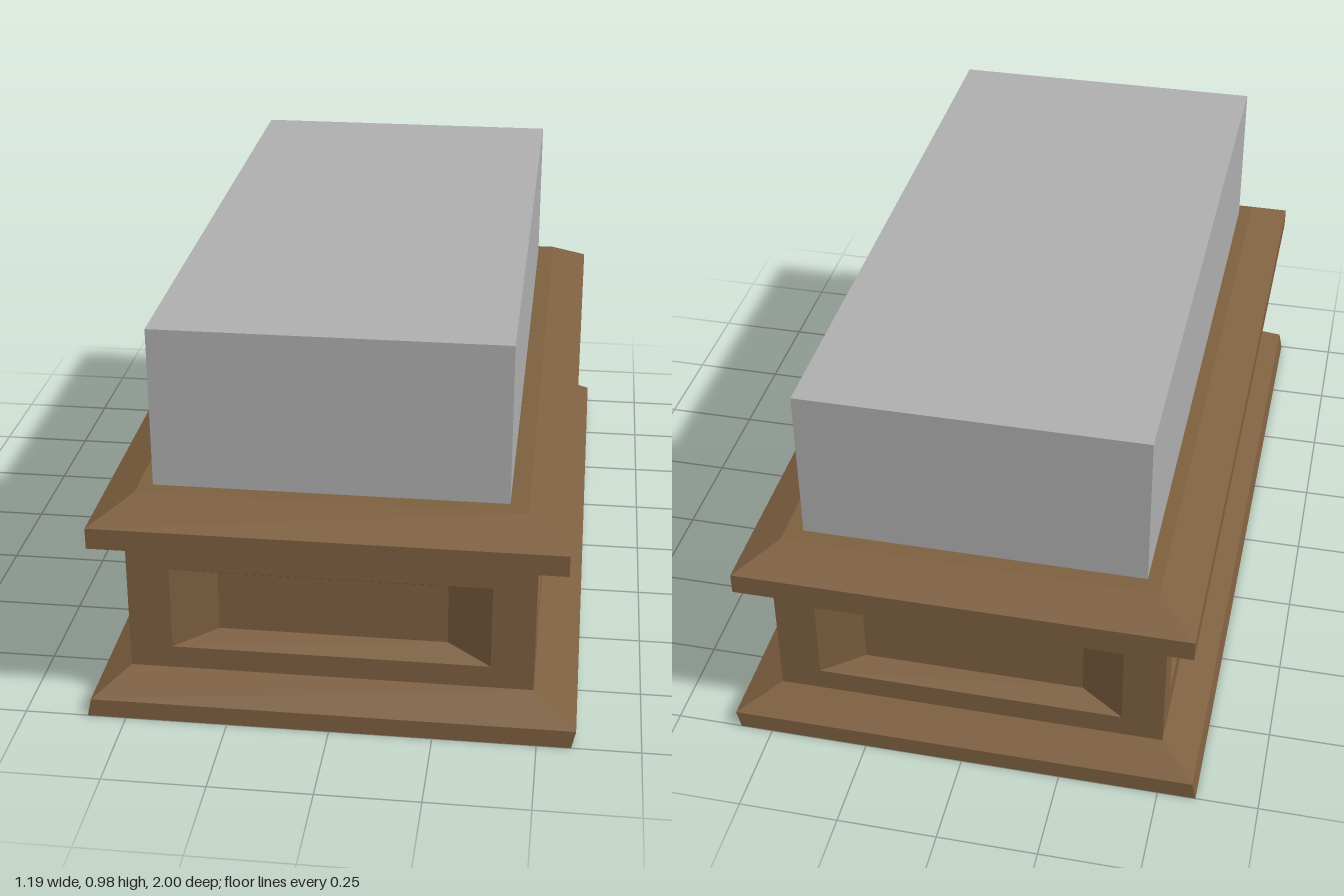
import * as THREE from 'three';

const wood = new THREE.MeshStandardMaterial({ color: 0x7d5f3f });
wood.name = 'brown wood';
const stone = new THREE.MeshStandardMaterial({ color: 0xaeaeae });
stone.name = 'grey block';

// Skin rectangular rings [x0, x1, y0, y1, z] stacked along +z, with flat facets.
function loft(name, rings, capStart, capEnd) {
  const corners = rings.map(([x0, x1, y0, y1, z]) =>
    [[x0, y0, z], [x1, y0, z], [x1, y1, z], [x0, y1, z]]);
  const pos = [];
  const quad = (a, b, c, d) => pos.push(...a, ...b, ...c, ...a, ...c, ...d);
  for (let i = 0; i + 1 < corners.length; i++) {
    const a = corners[i], b = corners[i + 1];
    for (let k = 0; k < 4; k++) {
      const n = (k + 1) % 4;
      quad(a[k], a[n], b[n], b[k]);
    }
  }
  if (capStart) quad(...corners[0].slice().reverse());
  if (capEnd) quad(...corners[corners.length - 1]);
  const geometry = new THREE.BufferGeometry();
  geometry.setAttribute('position', new THREE.Float32BufferAttribute(pos, 3));
  geometry.computeVertexNormals();
  const mesh = new THREE.Mesh(geometry, wood);
  mesh.name = name;
  return mesh;
}

// Horizontal moulding from levels [height, xMin, xMax, zHalf].
function moulding(name, levels) {
  const mesh = loft(name, levels.map(([h, x0, x1, z]) => [x0, x1, -z, z, h]), true, true);
  mesh.rotation.x = -Math.PI / 2;
  return mesh;
}

const Y0 = 0.107, Y1 = 0.427, CX = -0.005, HX = 0.492, HZ = 0.925;

// Wall facing +z with a bevelled, sunken panel, turned into place.
function panelWall(name, half, distance, angle, opening, inner, depth) {
  const wall = loft(name, [
    [-half, half, Y0, Y1, distance],
    [-opening[0], opening[0], opening[1], opening[2], distance],
    [-inner[0], inner[0], inner[1], inner[2], distance - depth],
  ], false, true);
  wall.rotation.y = angle;
  wall.position.x = CX;
  return wall;
}

export function createModel() {
  const model = new THREE.Group();
  model.name = 'panelledPedestal';

  // Slightly skewed plinth with a sloping shoulder
  model.add(moulding('plinth', [
    [0, -0.595, 0.583, 1],
    [0.047, -0.585, 0.593, 1],
    [Y0, -0.497, 0.487, HZ],
  ]));

  // Four panelled walls
  for (const [side, turn] of [['front', 0], ['back', Math.PI]]) {
    model.add(panelWall(side + 'Wall', HX, HZ, turn,
      [0.388, 0.165, 0.38], [0.28, 0.195, 0.35], 0.05));
  }
  for (const [side, s] of [['left', 1], ['right', -1]]) {
    model.add(panelWall(side + 'Wall', HZ, HX, s * Math.PI / 2,
      [0.82, 0.178, 0.384], [0.77, 0.222, 0.338], 0.045));
  }

  // Overhanging cornice
  model.add(moulding('cornice', [
    [Y1, -0.497, 0.487, HZ],
    [0.467, -0.57, 0.56, 1],
    [0.52, -0.57, 0.56, 1],
    [0.575, -0.47, 0.46, 0.907],
  ]));

  // Plain block on top
  const block = new THREE.Mesh(new THREE.BoxGeometry(0.85, 0.4, 1.73), stone);
  block.name = 'topBlock';
  block.position.set(-0.01, 0.775, 0);
  model.add(block);

  return model;
}
